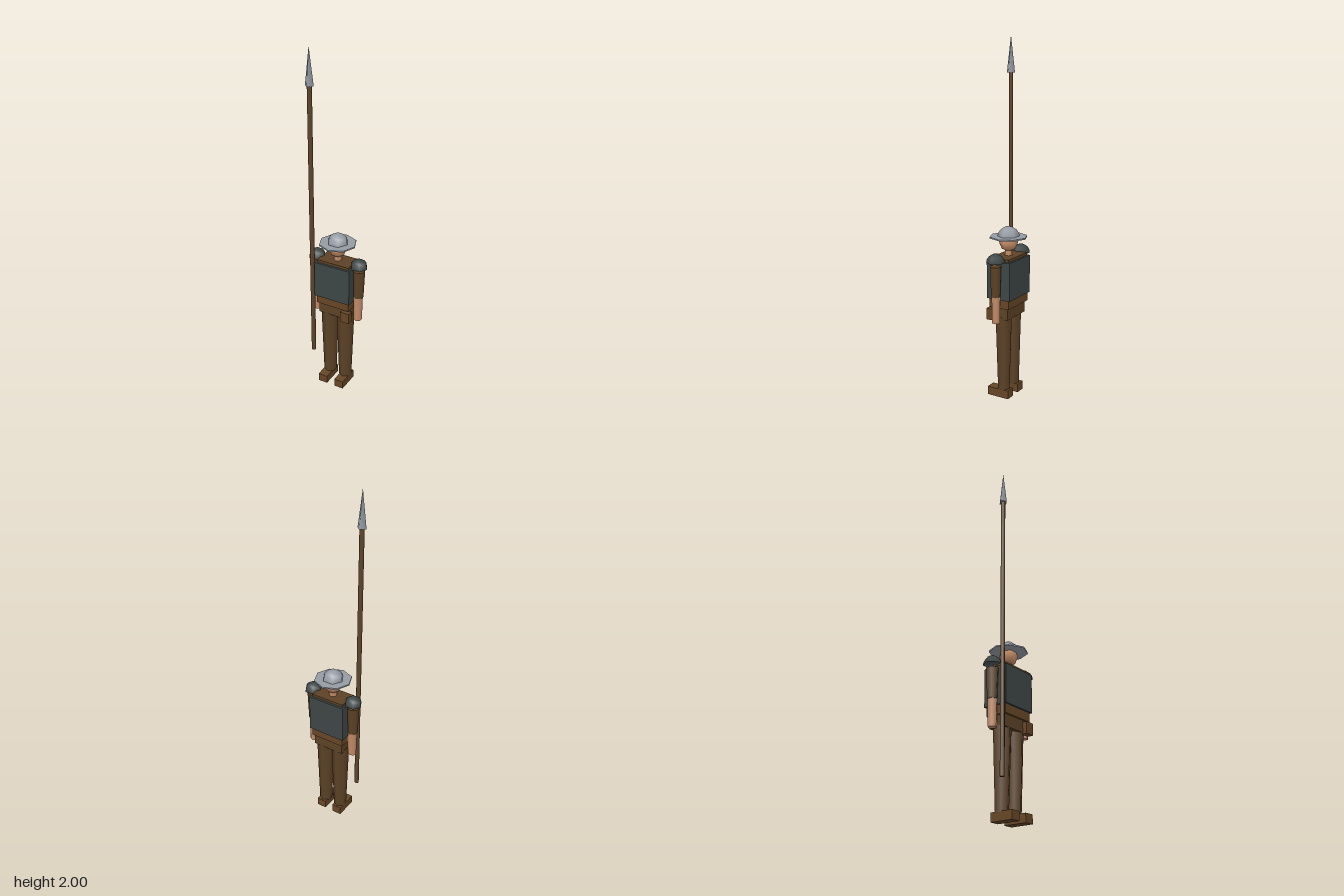
import * as THREE from 'three';

const mat = (name, color, side = THREE.FrontSide) => {
  const m = new THREE.MeshStandardMaterial({ color, side });
  m.name = name;
  return m;
};

export function createModel() {
  const cloth = mat('brown cloth', 0x5c4226);
  const leather = mat('leather', 0x664626);
  const wood = mat('wood', 0x5f452c);
  const iron = mat('dark iron', 0x3d4645, THREE.DoubleSide);
  const steel = mat('steel', 0x959ca4, THREE.DoubleSide);
  const skin = mat('skin', 0xc48c68);

  const model = new THREE.Group();
  model.name = 'spearman';

  const add = (name, geometry, material, x, y, z) => {
    const mesh = new THREE.Mesh(geometry, material);
    mesh.name = name;
    mesh.position.set(x, y, z);
    model.add(mesh);
    return mesh;
  };
  // Box and upright cylinder given by their bottom and top heights
  const box = (name, material, w, d, y0, y1, x = 0, z = 0) =>
    add(name, new THREE.BoxGeometry(w, y1 - y0, d), material, x, (y0 + y1) / 2, z);
  const rod = (name, material, rTop, rBottom, sides, y0, y1, x = 0, z = 0) =>
    add(name, new THREE.CylinderGeometry(rTop, rBottom, y1 - y0, sides), material, x, (y0 + y1) / 2, z);
  const dome = (name, material, r, x, y) =>
    add(name, new THREE.SphereGeometry(r, 6, 4, 0, Math.PI * 2, 0, Math.PI / 2), material, x, y, 0);

  // Body
  box('torso', cloth, 0.2, 0.12, 0.56, 0.815);
  box('cuirass', iron, 0.222, 0.144, 0.585, 0.8);
  box('belt', leather, 0.205, 0.124, 0.535, 0.585);
  box('hips', cloth, 0.186, 0.1, 0.47, 0.535);
  box('pouch', leather, 0.056, 0.036, 0.462, 0.526, 0.085, 0.057);

  // Head and brimmed helmet
  rod('neck', skin, 0.022, 0.022, 6, 0.8, 0.86);
  add('head', new THREE.SphereGeometry(0.053, 6, 4), skin, 0, 0.888, 0);
  rod('helmetBrim', steel, 0.106, 0.106, 8, 0.914, 0.922);
  dome('helmetDome', steel, 0.062, 0, 0.915);

  // Paired limbs and shoulder guards
  for (const [side, s] of [['left', 1], ['right', -1]]) {
    dome(side + 'ShoulderGuard', iron, 0.051, s * 0.134, 0.8);
    rod(side + 'UpperArm', cloth, 0.035, 0.028, 6, 0.61, 0.78, s * 0.134);
    rod(side + 'Forearm', skin, 0.027, 0.024, 6, 0.46, 0.61, s * 0.131);
    rod(side + 'Leg', cloth, 0.051, 0.037, 6, 0.045, 0.48, s * 0.051);
    box(side + 'Boot', leather, 0.057, 0.133, 0, 0.048, s * 0.054, 0.021);
  }

  // Spear
  rod('spearShaft', wood, 0.013, 0.013, 6, 0.2, 1.8, -0.128, 0.063);
  add('spearTip', new THREE.ConeGeometry(0.026, 0.2, 4), steel, -0.128, 1.9, 0.063);

  return model;
}
